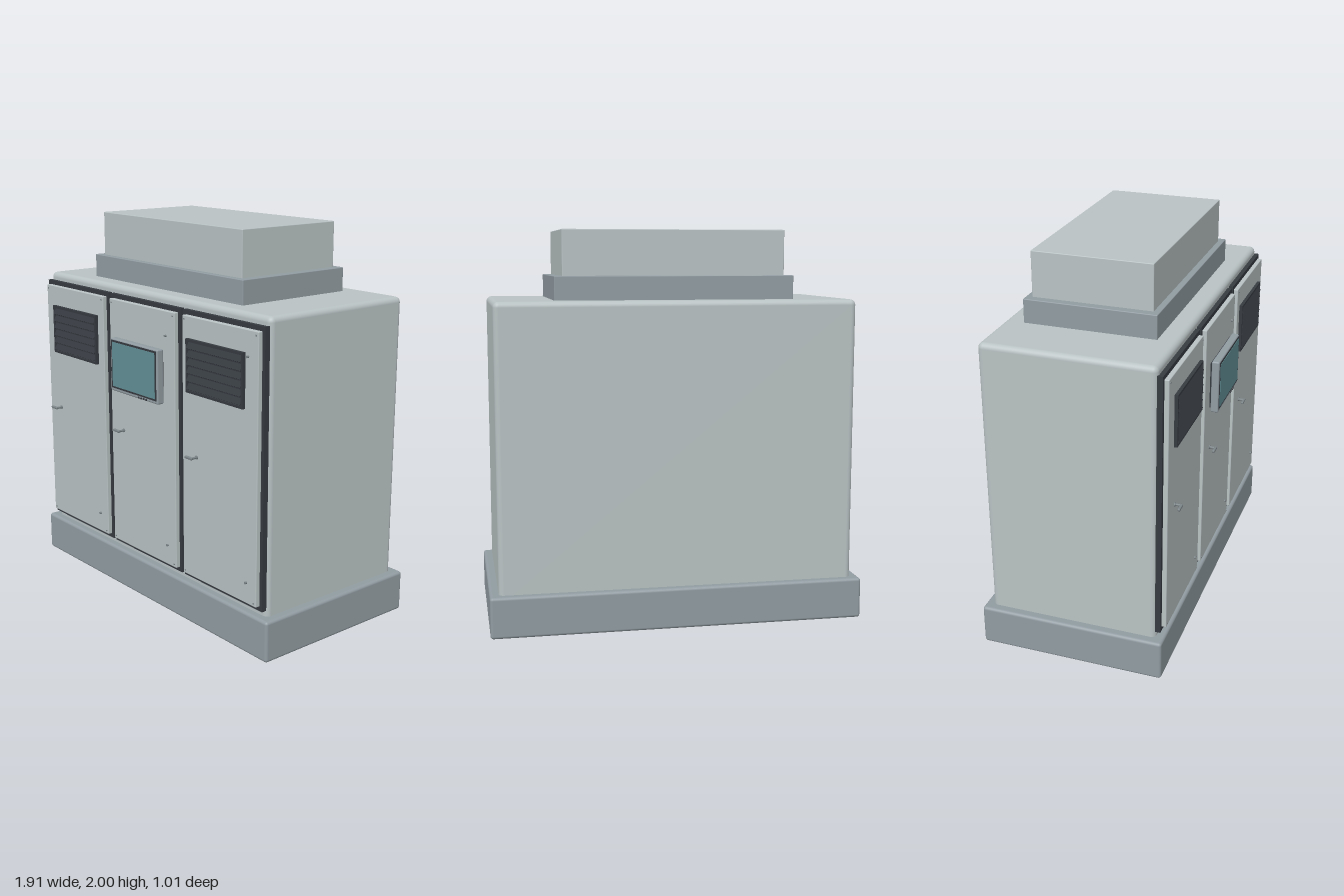
import * as THREE from 'three';
import { RoundedBoxGeometry } from 'three/addons/geometries/RoundedBoxGeometry.js';

const mat = (name, color) => {
  const m = new THREE.MeshStandardMaterial({ color });
  m.name = name;
  return m;
};

export function createModel() {
  const shell = mat('light grey shell', 0xb9c2c3);
  const trim = mat('blue grey trim', 0x919ca2);
  const dark = mat('dark rubber', 0x363b41);
  const glass = mat('teal glass', 0x628f95);
  const metal = mat('hardware metal', 0x7d868a);

  const group = (name, parent) => {
    const g = new THREE.Group();
    g.name = name;
    parent.add(g);
    return g;
  };

  const add = (parent, name, geometry, material) => {
    const mesh = new THREE.Mesh(geometry, material);
    mesh.name = name;
    parent.add(mesh);
    return mesh;
  };

  // Box given by its min and max corners, with optional edge rounding
  const box = (parent, name, material, [x0, y0, z0], [x1, y1, z1], r = 0) => {
    const s = [x1 - x0, y1 - y0, z1 - z0];
    const geo = r ? new RoundedBoxGeometry(...s, 3, r) : new THREE.BoxGeometry(...s);
    const mesh = add(parent, name, geo, material);
    mesh.position.set((x0 + x1) / 2, (y0 + y1) / 2, (z0 + z1) / 2);
    return mesh;
  };

  // Rod along z
  const rod = (parent, name, material, x, y, z0, z1, r) => {
    const mesh = add(parent, name, new THREE.CylinderGeometry(r, r, z1 - z0, 12), material);
    mesh.rotation.x = Math.PI / 2;
    mesh.position.set(x, y, (z0 + z1) / 2);
    return mesh;
  };

  // Rectangular picture frame, extruded along z
  const frame = (parent, name, material, w, h, border, depth) => {
    const rect = (C, a, b) => new C([[-a, -b], [a, -b], [a, b], [-a, b]].map((p) => new THREE.Vector2(...p)));
    const shape = rect(THREE.Shape, w / 2, h / 2);
    shape.holes.push(rect(THREE.Path, w / 2 - border, h / 2 - border));
    return add(parent, name, new THREE.ExtrudeGeometry(shape, { depth, bevelEnabled: false }), material);
  };

  const root = new THREE.Group();
  root.name = 'controlCabinet';

  // Plinth, cabinet body and roof unit
  box(root, 'plinth', trim, [-0.955, 0, -0.505], [0.955, 0.21, 0.448], 0.015);
  box(root, 'cabinetBody', shell, [-0.91, 0.15, -0.465], [0.91, 1.652, 0.405], 0.028);
  box(root, 'roofCurb', trim, [-0.607, 1.63, -0.362], [0.607, 1.772, 0.305], 0.004);
  box(root, 'roofUnit', shell, [-0.565, 1.75, -0.332], [0.565, 2, 0.274], 0.004);

  // Louvred vent, centred on its own origin
  const addVent = (parent, x) => {
    const vent = group('vent', parent);
    vent.position.set(x, 1.35, 0.45);
    box(vent, 'ventBacking', dark, [-0.2, -0.125, 0], [0.2, 0.125, 0.006]);
    frame(vent, 'ventFrame', dark, 0.415, 0.264, 0.012, 0.018);
    for (let i = 0; i < 6; i++) {
      const slat = add(vent, 'ventSlat', new THREE.BoxGeometry(0.394, 0.032, 0.006), dark);
      slat.position.set(0, -0.1 + i * 0.04, 0.014);
      slat.rotation.x = -0.5;
    }
  };

  // Three doors with seal, panel, screws, hinge pins and handle
  [-0.608, 0, 0.608].forEach((x, i) => {
    const door = group(['rightDoor', 'middleDoor', 'leftDoor'][i], root);
    door.position.x = x;
    box(door, 'doorSeal', dark, [-0.294, 0.24, 0.4], [0.292, 1.61, 0.428]);
    box(door, 'doorPanel', shell, [-0.274, 0.263, 0.42], [0.274, 1.588, 0.451], 0.004);

    for (const sx of [-0.258, 0.258])
      for (const y of [0.28, 1.57]) rod(door, 'cornerScrew', metal, sx, y, 0.448, 0.454, 0.004);

    for (const y of [0.37, 1.465]) rod(door, 'doorStud', metal, 0.206, y, 0.448, 0.461, 0.006);

    const handle = group('doorHandle', door);
    rod(handle, 'handleRose', metal, -0.165, 0.9, 0.448, 0.456, 0.01);
    rod(handle, 'handleStem', metal, -0.165, 0.9, 0.45, 0.485, 0.006);
    box(handle, 'handleLever', metal, [-0.212, 0.893, 0.478], [-0.158, 0.907, 0.492], 0.005);

    if (i !== 1) addVent(door, i ? -0.021 : 0.015);
  });

  // Control screen on the middle door
  const screen = group('controlScreen', root);
  screen.position.set(-0.003, 1.259, 0);
  box(screen, 'screenMount', dark, [-0.185, -0.122, 0.448], [0.185, 0.122, 0.468]);
  box(screen, 'screenCase', trim, [-0.2, -0.139, 0.46], [0.2, 0.139, 0.5], 0.008);
  box(screen, 'screenBezel', dark, [-0.19, -0.122, 0.496], [0.19, 0.131, 0.502]);
  box(screen, 'screenGlass', glass, [-0.18, -0.112, 0.498], [0.18, 0.121, 0.504]);
  for (let i = 0; i < 4; i++)
    rod(screen, 'screenButton', dark, 0.045 + i * 0.021, -0.13, 0.498, 0.505, 0.005);

  return root;
}
